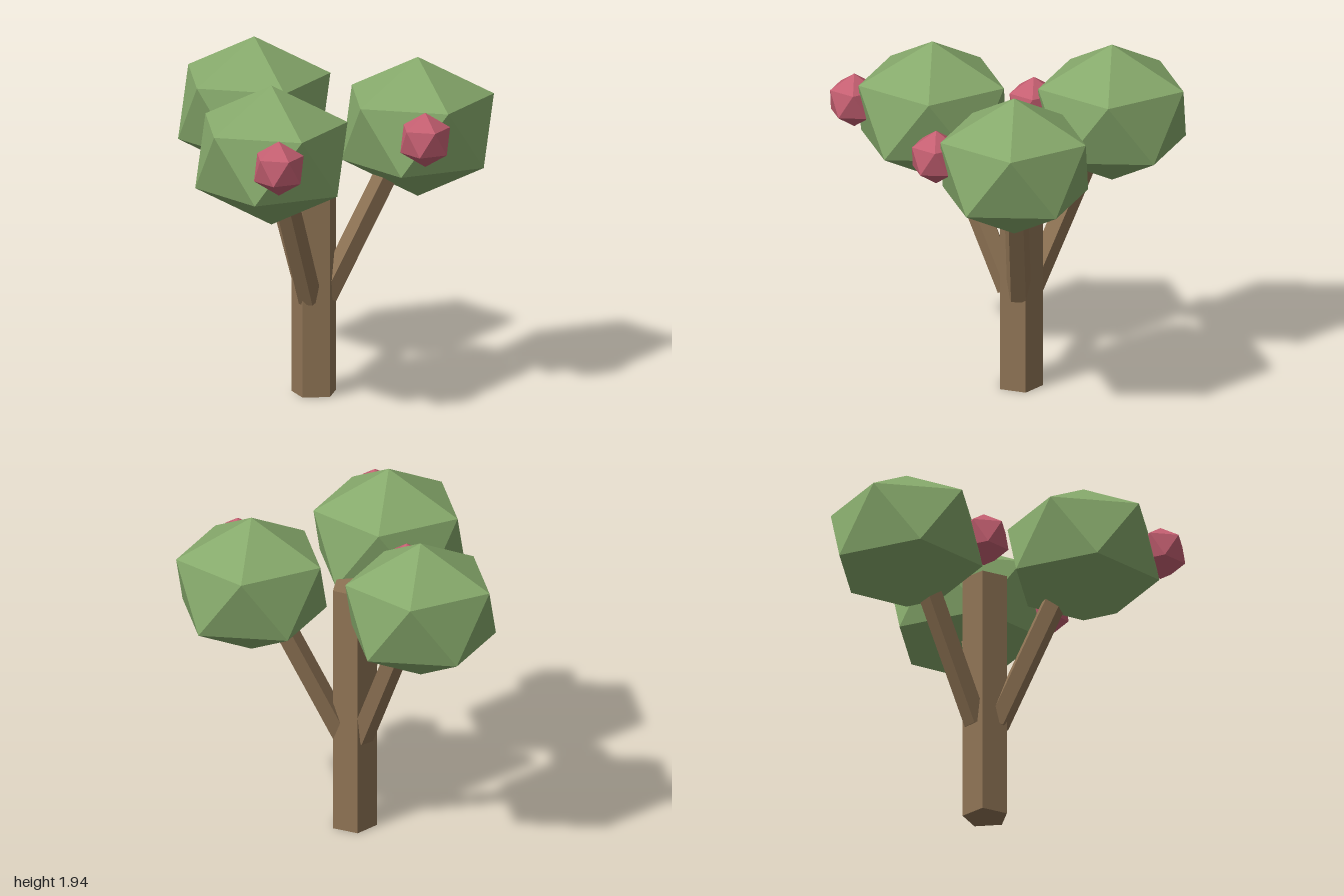
import * as THREE from 'three';

const material = (name, color) => {
  const m = new THREE.MeshStandardMaterial({ color, flatShading: true });
  m.name = name;
  return m;
};

// Twelve-point ball standing on a pole: a top point, two rings of five, a bottom point
function facetedBall(radius, height) {
  const ringR = radius * 0.894, ringY = height * 0.447;
  const ring = (y, offset) => Array.from({ length: 5 }, (_, i) => {
    const a = (i + offset) * Math.PI * 0.4;
    return [ringR * Math.cos(a), y, -ringR * Math.sin(a)];
  });
  const upper = ring(ringY, 0), lower = ring(-ringY, 0.5);
  const top = [0, height, 0], bottom = [0, -height, 0];
  const points = [];
  for (let i = 0; i < 5; i++) {
    const j = (i + 1) % 5;
    points.push(top, upper[i], upper[j]);
    points.push(upper[i], lower[i], upper[j]);
    points.push(upper[j], lower[i], lower[j]);
    points.push(bottom, lower[j], lower[i]);
  }
  const g = new THREE.BufferGeometry();
  g.setAttribute('position', new THREE.Float32BufferAttribute(points.flat(), 3));
  g.computeVertexNormals();
  return g;
}

export function createModel() {
  const bark = material('bark brown', 0x8f7455);
  const leaf = material('leaf green', 0x86a96b);
  const pink = material('fruit pink', 0xc45f71);

  const tree = new THREE.Group();
  tree.name = 'tree';
  const add = (parent, name, geometry, mat, x, y, z) => {
    const mesh = new THREE.Mesh(geometry, mat);
    mesh.name = name;
    mesh.position.set(x, y, z);
    parent.add(mesh);
    return mesh;
  };

  const cx = -0.147, cz = -0.086;

  // Five-sided trunk, one corner pointing backward
  add(tree, 'trunk', new THREE.CylinderGeometry(0.132, 0.132, 1.47, 5, 1, false, Math.PI),
    bark, cx, 0.735, cz);

  // Three limbs around the trunk, each carrying a crown and a fruit
  const tilt = 0.452, length = 1.0, reach = 0.583;
  const branchGeo = new THREE.CylinderGeometry(0.071, 0.071, length, 5, 1, false, -Math.PI / 2);
  branchGeo.translate(0, length / 2, 0);
  const crownGeo = facetedBall(0.481, 0.406);
  const fruitGeo = facetedBall(0.157, 0.158);

  ['left', 'backRight', 'frontRight'].forEach((side, i) => {
    const angle = i * Math.PI * 2 / 3;
    const limb = new THREE.Group();
    limb.name = side + 'Limb';
    limb.position.set(cx, 0, cz);
    limb.rotation.y = angle;
    tree.add(limb);
    add(limb, side + 'Branch', branchGeo, bark, 0.067, 0.565, 0).rotation.z = -tilt;

    const x = cx + reach * Math.cos(angle), z = cz - reach * Math.sin(angle);
    add(tree, side + 'Crown', crownGeo, leaf, x, 1.537, z);
    add(tree, side + 'Fruit', fruitGeo, pink, x, 1.583, z + 0.44);
  });

  return tree;
}
